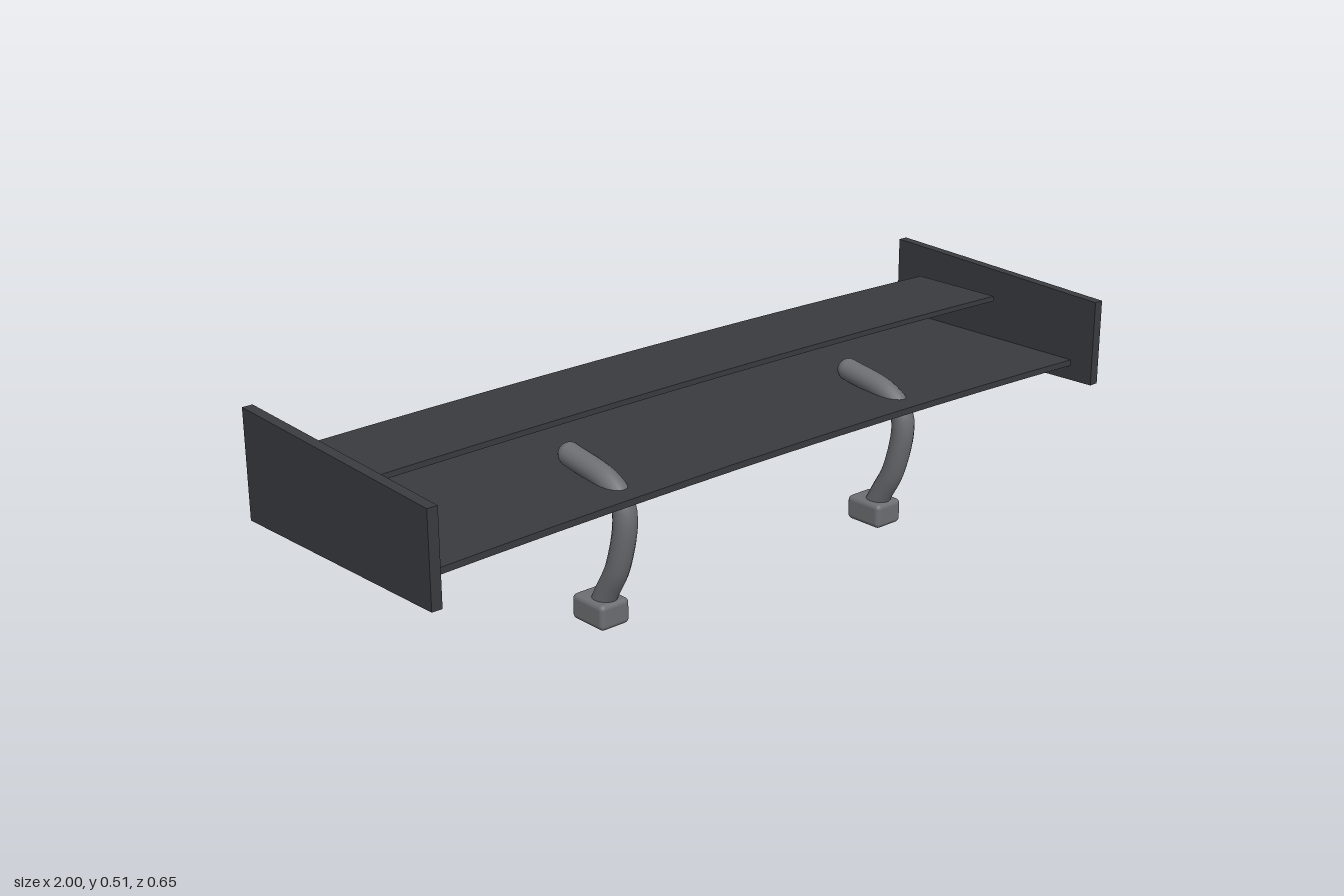
import * as THREE from 'three';
import { RoundedBoxGeometry } from 'three/addons/geometries/RoundedBoxGeometry.js';

const dark = new THREE.MeshStandardMaterial({ color: 0x3a3b3f, flatShading: true });
const metal = new THREE.MeshStandardMaterial({ color: 0x6c6e72 });
const gold = new THREE.MeshStandardMaterial({ color: 0xd6bc78, flatShading: true });

function add(parent, name, geometry, material, x = 0, y = 0, z = 0) {
  const mesh = new THREE.Mesh(geometry, material);
  mesh.name = name;
  mesh.position.set(x, y, z);
  parent.add(mesh);
  return mesh;
}

// Thin blade spanning x, arched so that its tips drop
function archedBlade(halfSpan, thickness, zBack, zFront, drop) {
  const g = new THREE.BoxGeometry(halfSpan * 2, thickness, zFront - zBack, 12, 1, 1);
  const p = g.attributes.position;
  for (let i = 0; i < p.count; i++) {
    const t = p.getX(i) / halfSpan;
    p.setY(i, p.getY(i) - drop * t * t);
  }
  g.translate(0, 0, (zBack + zFront) / 2);
  g.computeVertexNormals();
  return g;
}

// Tapered side plate, outlined in (z, y) and extruded along x
function endPlateGeometry(thickness) {
  const outline = [[0.325, 0.478], [0.325, 0.266], [-0.325, 0.256], [-0.325, 0.508]];
  const shape = new THREE.Shape(outline.map(([z, y]) => new THREE.Vector2(-z, y)));
  const g = new THREE.ExtrudeGeometry(shape, { depth: thickness, bevelEnabled: false });
  g.translate(0, 0, -thickness / 2);
  g.rotateY(Math.PI / 2);
  return g;
}

// Swan-neck support, bent forward and then back over the main blade
function buildSupport(x) {
  const support = new THREE.Group();
  support.name = 'support';
  support.position.x = x;
  const radius = 0.027;
  const points = [[0.118, 0.025], [0.15, 0.083], [0.184, 0.146], [0.21, 0.26],
    [0.2, 0.3], [0.155, 0.333], [0.03, 0.358]]
    .map(([z, y]) => new THREE.Vector3(0, y, z));
  const path = new THREE.CatmullRomCurve3(points);
  add(support, 'neck', new THREE.TubeGeometry(path, 28, radius, 16), metal);
  const end = points[points.length - 1];
  add(support, 'neckEnd', new THREE.SphereGeometry(radius, 16, 10), metal, 0, end.y, end.z);
  add(support, 'foot', new RoundedBoxGeometry(0.08, 0.06, 0.104, 3, 0.012), metal, 0, 0.03, 0.124);
  return support;
}

export function createModel() {
  const model = new THREE.Group();
  model.name = 'rearWing';

  // Blades
  add(model, 'mainBlade', archedBlade(0.976, 0.015, -0.285, 0.26, 0.016), dark, 0, 0.325);
  add(model, 'upperBlade', archedBlade(0.932, 0.013, -0.208, 0.04, 0.01), dark, 0, 0.444);

  // Trailing edge strip
  add(model, 'trailingStrip', new THREE.BoxGeometry(1.91, 0.056, 0.03), gold, 0, 0.349, -0.29);

  // Mirrored end plates and supports
  for (const side of [-1, 1]) {
    add(model, side > 0 ? 'leftEndPlate' : 'rightEndPlate', endPlateGeometry(0.025), dark, side * 0.9875);
    model.add(buildSupport(side * 0.425));
  }
  return model;
}
